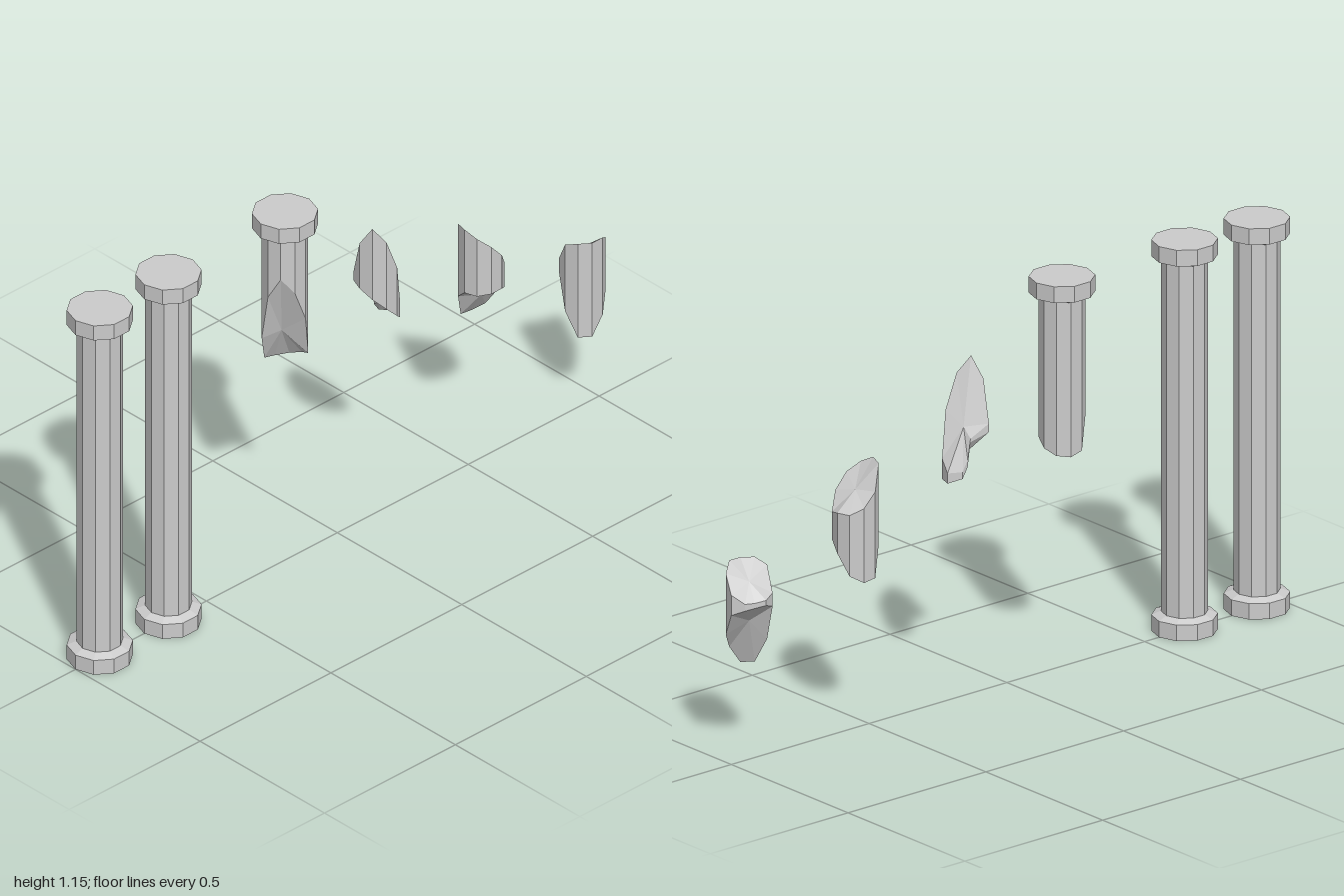
import * as THREE from 'three';

const SIDES = 10;
const R = 0.065;      // shaft radius
const CAP_R = 0.0925; // base and capital radius
const TOP = 1.155;
const stone = new THREE.MeshStandardMaterial({ color: 0xcccccc, flatShading: true });

function addMesh(parent, name, geometry) {
  const flat = geometry.index ? geometry.toNonIndexed() : geometry;
  flat.computeVertexNormals();
  const mesh = new THREE.Mesh(flat, stone);
  mesh.name = name;
  parent.add(mesh);
}

// Ten-sided drum between two heights, with corners on the x axis
function drum(parent, name, y0, y1, rBottom, rTop) {
  const g = new THREE.CylinderGeometry(rTop, rBottom, y1 - y0, SIDES, 1, false, Math.PI / SIDES);
  addMesh(parent, name, g.translate(0, (y0 + y1) / 2, 0));
}

function addCapital(parent) {
  drum(parent, 'capitalChamfer', 1.098, 1.107, 0.068, CAP_R);
  drum(parent, 'capital', 1.107, TOP, CAP_R, CAP_R);
}

function addBase(parent) {
  drum(parent, 'base', 0, 0.047, CAP_R, CAP_R);
  drum(parent, 'baseChamfer', 0.047, 0.057, CAP_R, 0.068);
}

// Broken length of shaft. Each ring entry is [top, bottom, radius factor],
// going from +x round by the front; the two break faces fan out from core points.
function brokenShaft(ring, topCore, bottomCore) {
  const pos = [];
  const point = (i, level) => {
    const a = (i * 2 * Math.PI) / SIDES;
    const r = R * (ring[i][2] ?? 1);
    return [r * Math.cos(a), ring[i][level], r * Math.sin(a)];
  };
  for (let i = 0; i < SIDES; i++) {
    const j = (i + 1) % SIDES;
    const ti = point(i, 0), tj = point(j, 0), bi = point(i, 1), bj = point(j, 1);
    pos.push(...bi, ...ti, ...tj, ...bi, ...tj, ...bj); // outer wall
    pos.push(...topCore, ...tj, ...ti);                 // upper break
    pos.push(...bottomCore, ...bi, ...bj);              // lower break
  }
  const g = new THREE.BufferGeometry();
  g.setAttribute('position', new THREE.Float32BufferAttribute(pos, 3));
  return g;
}

export function createModel() {
  const model = new THREE.Group();
  const group = (name, x) => {
    const g = new THREE.Group();
    g.name = name;
    g.position.x = x;
    model.add(g);
    return g;
  };

  // Two whole columns
  [-0.9075, -0.645].forEach((x, i) => {
    const column = group(`column${i + 1}`, x);
    addBase(column);
    drum(column, 'shaft', 0.05, 1.105, R, R);
    addCapital(column);
  });

  // Hanging top of the broken column
  const hanging = group('brokenColumnTop', -0.2);
  addCapital(hanging);
  const lowerEdge = [0.66, 0.68, 0.82, 0.92, 0.97, 0.9, 0.74, 0.65, 0.64, 0.645];
  addMesh(hanging, 'brokenShaft',
    brokenShaft(lowerEdge.map((y) => [1.1, y]), [0, 1.1, 0], [-0.005, 0.76, -0.008]));

  // Thin front splinter
  addMesh(group('upperFragment', 0.15), 'upperShard', brokenShaft([
    [0.67, 0.64], [0.7, 0.64], [0.83, 0.67], [0.93, 0.71], [0.98, 0.745],
    [0.92, 0.77], [0.8, 0.775], [0.76, 0.75, 0.25], [0.7, 0.68, 0.25], [0.67, 0.65, 0.5],
  ], [0, 0.79, 0.008], [0, 0.705, 0.012]));

  // Full-round middle piece, broken on a slant at both ends
  addMesh(group('middleFragment', 0.55), 'middleShard', brokenShaft([
    [0.65, 0.53], [0.64, 0.56], [0.69, 0.58], [0.735, 0.58], [0.765, 0.575],
    [0.785, 0.575], [0.78, 0.54], [0.71, 0.455], [0.67, 0.45], [0.65, 0.47],
  ], [0, 0.705, 0], [0, 0.54, 0]));

  // Wedge-shaped lower piece with a ridge at the back
  addMesh(group('lowerFragment', 0.935), 'lowerShard', brokenShaft([
    [0.5, 0.44], [0.55, 0.37], [0.575, 0.32], [0.575, 0.265], [0.575, 0.265],
    [0.56, 0.34], [0.49, 0.45], [0.48, 0.465, 0.85], [0.475, 0.46, 0.65], [0.475, 0.455, 0.75],
  ], [0, 0.525, 0], [0, 0.41, 0]));

  return model;
}
